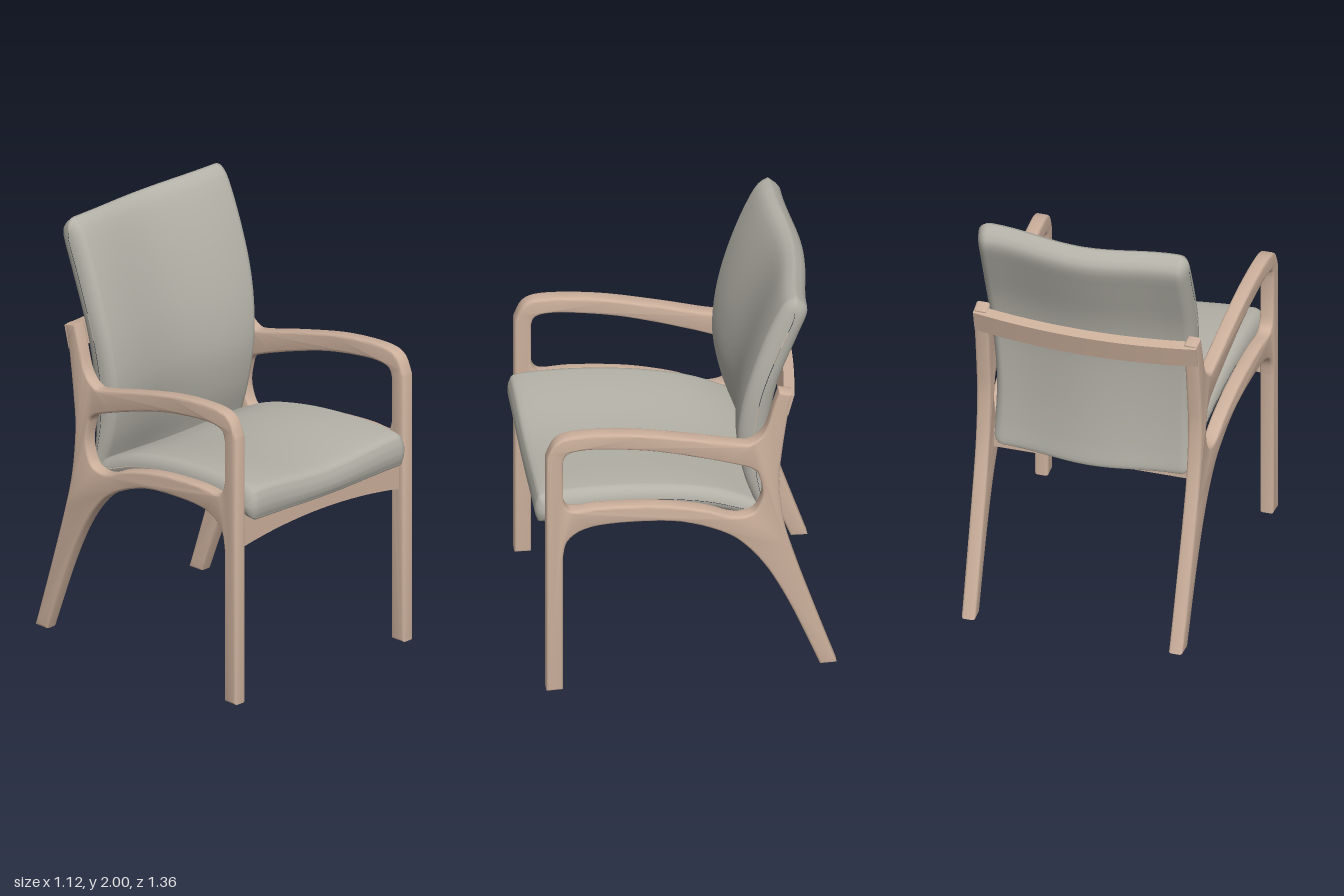
import * as THREE from 'three';
import { toCreasedNormals } from 'three/addons/utils/BufferGeometryUtils.js';

const wood = new THREE.MeshStandardMaterial({ color: 0xccb09c });
wood.name = 'beech wood';
const fabric = new THREE.MeshStandardMaterial({ color: 0xb4b2a8 });
fabric.name = 'grey upholstery';

const vecs = (pts) => pts.map(([a, b]) => new THREE.Vector2(a, b));

// Move every vertex by a rule
function warp(geo, rule) {
  const pos = geo.attributes.position;
  const v = new THREE.Vector3();
  for (let i = 0; i < pos.count; i++) {
    rule(v.fromBufferAttribute(pos, i));
    pos.setXYZ(i, v.x, v.y, v.z);
  }
  return geo;
}

function add(group, name, geo, material) {
  const mesh = new THREE.Mesh(geo, material);
  mesh.name = name;
  group.add(mesh);
  return mesh;
}

// 1 in the middle of the chair, 0 near the sides
const hollow = (x) => 0.5 + 0.5 * Math.cos(Math.PI * Math.min(1, Math.abs(x) / 0.45));

// Padded cushion: a (z, y) profile of two faces lofted across x, rounded at both sides
function cushion(faceA, faceB, halfLength, rule) {
  const N = 32, r = 0.05;
  const a = new THREE.SplineCurve(vecs(faceA)).getPoints(N);
  const b = new THREE.SplineCurve(vecs(faceB)).getPoints(N);
  const mid = a.map((p, i) => p.clone().add(b[i]).multiplyScalar(0.5));
  const loop = [], mids = [];
  for (let i = 0; i <= N; i++) { loop.push(a[i]); mids.push(mid[i]); }
  for (let i = N - 1; i > 0; i--) { loop.push(b[i]); mids.push(mid[i]); }
  const centre = mid[N / 2];

  // stations: x and fullness of the padding
  const stations = [];
  for (let i = 0; i < 6; i++) {
    const t = (i / 6) * Math.PI / 2;
    stations.push([-0.5 + r * (1 - Math.cos(t)), Math.max(0.02, Math.sin(t))]);
  }
  for (let i = 0; i <= 16; i++) stations.push([(0.5 - r) * (i / 8 - 1), 1]);
  for (let i = 5; i >= 0; i--) stations.push([-stations[i][0], stations[i][1]]);

  const positions = [], index = [], n = loop.length;
  const v = new THREE.Vector3(), p = new THREE.Vector2();
  stations.forEach(([x, f], i) => {
    const shrink = 1 - (r * (1 - f)) / halfLength;
    for (let j = 0; j < n; j++) {
      p.lerpVectors(mids[j], loop[j], f).sub(centre).multiplyScalar(shrink).add(centre);
      v.set(x, p.y, p.x);
      rule(v);
      positions.push(v.x, v.y, v.z);
      if (i < stations.length - 1) {
        const k = (j + 1) % n, s = i * n, e = s + n;
        index.push(s + j, e + j, e + k, s + j, e + k, s + k);
      }
    }
  });
  const geo = new THREE.BufferGeometry();
  geo.setAttribute('position', new THREE.Float32BufferAttribute(positions, 3));
  geo.setIndex(index);
  geo.computeVertexNormals();
  return geo;
}

// Side frame: legs, arm, seat rail and back post in one piece (shape x runs to the rear)
function sideFrame(side) {
  const s = new THREE.Shape();
  s.moveTo(-0.64, 0);
  s.lineTo(-0.565, 0);
  s.lineTo(-0.565, 0.73);
  s.splineThru(vecs([[-0.54, 0.825], [-0.44, 0.884], [-0.247, 0.89], [-0.035, 0.865],
    [0.15, 0.79], [0.257, 0.705], [0.363, 0.557], [0.47, 0.334], [0.6, 0]]));
  s.lineTo(0.676, 0);
  s.splineThru(vecs([[0.586, 0.28], [0.496, 0.573], [0.438, 0.8], [0.416, 1.02],
    [0.427, 1.18], [0.455, 1.395], [0.475, 1.512]]));
  s.lineTo(0.415, 1.527);
  s.splineThru(vecs([[0.388, 1.44], [0.35, 1.315], [0.29, 1.259], [0.225, 1.262],
    [0.02, 1.315], [-0.25, 1.374], [-0.49, 1.394], [-0.595, 1.368], [-0.64, 1.28]]));

  // opening between the arm and the seat rail
  const hole = new THREE.Path();
  hole.moveTo(-0.565, 1.05);
  hole.lineTo(-0.565, 1.255);
  hole.splineThru(vecs([[-0.55, 1.295], [-0.5, 1.312], [-0.4, 1.31], [-0.19, 1.278], [0.02, 1.22],
    [0.23, 1.148], [0.305, 1.11], [0.328, 1.06], [0.34, 0.97], [0.31, 0.885], [0.257, 0.86],
    [0.19, 0.867], [0.07, 0.918], [-0.14, 0.967], [-0.38, 0.987], [-0.51, 0.982],
    [-0.55, 1.005], [-0.565, 1.05]]));
  s.holes.push(hole);

  const bevel = 0.012, thick = 0.065;
  const geo = new THREE.ExtrudeGeometry(s, {
    depth: thick - 2 * bevel, curveSegments: 4,
    bevelThickness: bevel, bevelSize: bevel, bevelOffset: -bevel, bevelSegments: 3,
  });
  geo.translate(0, 0, bevel - thick / 2).rotateY(Math.PI / 2);
  // frames splay towards the front
  warp(geo, (v) => { v.x += side * (0.508 + 0.034 * v.z); });
  return toCreasedNormals(geo, 0.6);
}

export function createModel() {
  const chair = new THREE.Group();
  chair.name = 'armchair';

  add(chair, 'leftSideFrame', sideFrame(1), wood);
  add(chair, 'rightSideFrame', sideFrame(-1), wood);

  // front apron with arched lower edge
  const apron = new THREE.Shape();
  apron.moveTo(-0.5, 0.735);
  apron.quadraticCurveTo(0, 0.828, 0.5, 0.735);
  apron.lineTo(0.5, 0.9);
  apron.lineTo(-0.5, 0.9);
  const apronGeo = new THREE.ExtrudeGeometry(apron, { depth: 0.045, bevelEnabled: false, curveSegments: 20 });
  apronGeo.translate(0, 0, 0.57);
  add(chair, 'frontApron', toCreasedNormals(apronGeo, 0.5), wood);

  // straight rail under the rear of the seat
  add(chair, 'rearSeatRail', new THREE.BoxGeometry(0.94, 0.09, 0.06), wood).position.set(0, 0.77, -0.32);

  // bowed rail behind the backrest
  const railGeo = warp(new THREE.BoxGeometry(1.045, 0.11, 0.05, 20, 1, 1),
    (v) => { v.z -= 0.042 * (1 - (v.x / 0.5225) ** 2); });
  railGeo.rotateX(-0.25).translate(0, 1.457, -0.445);
  add(chair, 'backRail', toCreasedNormals(railGeo, 0.5), wood);

  // seat cushion, top face then underside, front to rear
  add(chair, 'seatCushion', cushion(
    [[0.68, 0.935], [0.672, 0.99], [0.63, 1.027], [0.4, 1.035], [0.13, 1.015], [-0.12, 0.965], [-0.29, 0.893], [-0.34, 0.86], [-0.35, 0.83]],
    [[0.68, 0.935], [0.67, 0.89], [0.635, 0.873], [0.4, 0.912], [0.13, 0.9], [-0.12, 0.855], [-0.29, 0.803], [-0.335, 0.802], [-0.35, 0.83]],
    0.5, (v) => {
      v.y -= 0.028 * hollow(v.x) * THREE.MathUtils.smoothstep(v.y, 0.8, 1);
      v.x *= (0.472 + 0.038 * v.z) / 0.5;
    }), fabric);

  // backrest cushion, front face then rear face, bottom to top
  add(chair, 'backCushion', cushion(
    [[-0.37, 0.76], [-0.345, 0.775], [-0.315, 0.87], [-0.268, 1.02], [-0.24, 1.21], [-0.254, 1.395], [-0.295, 1.58], [-0.363, 1.79], [-0.44, 1.96], [-0.5, 2]],
    [[-0.37, 0.76], [-0.385, 0.775], [-0.378, 0.87], [-0.373, 1.02], [-0.376, 1.21], [-0.39, 1.395], [-0.43, 1.58], [-0.508, 1.79], [-0.553, 1.93], [-0.5, 2]],
    0.62, (v) => {
      const b = hollow(v.x);
      v.y *= 1 - 0.008 * b;
      v.z -= 0.042 * b;
      v.x *= (0.457 + 0.037 * THREE.MathUtils.smoothstep(v.y, 1, 1.65)) / 0.5;
    }), fabric);

  return chair;
}
